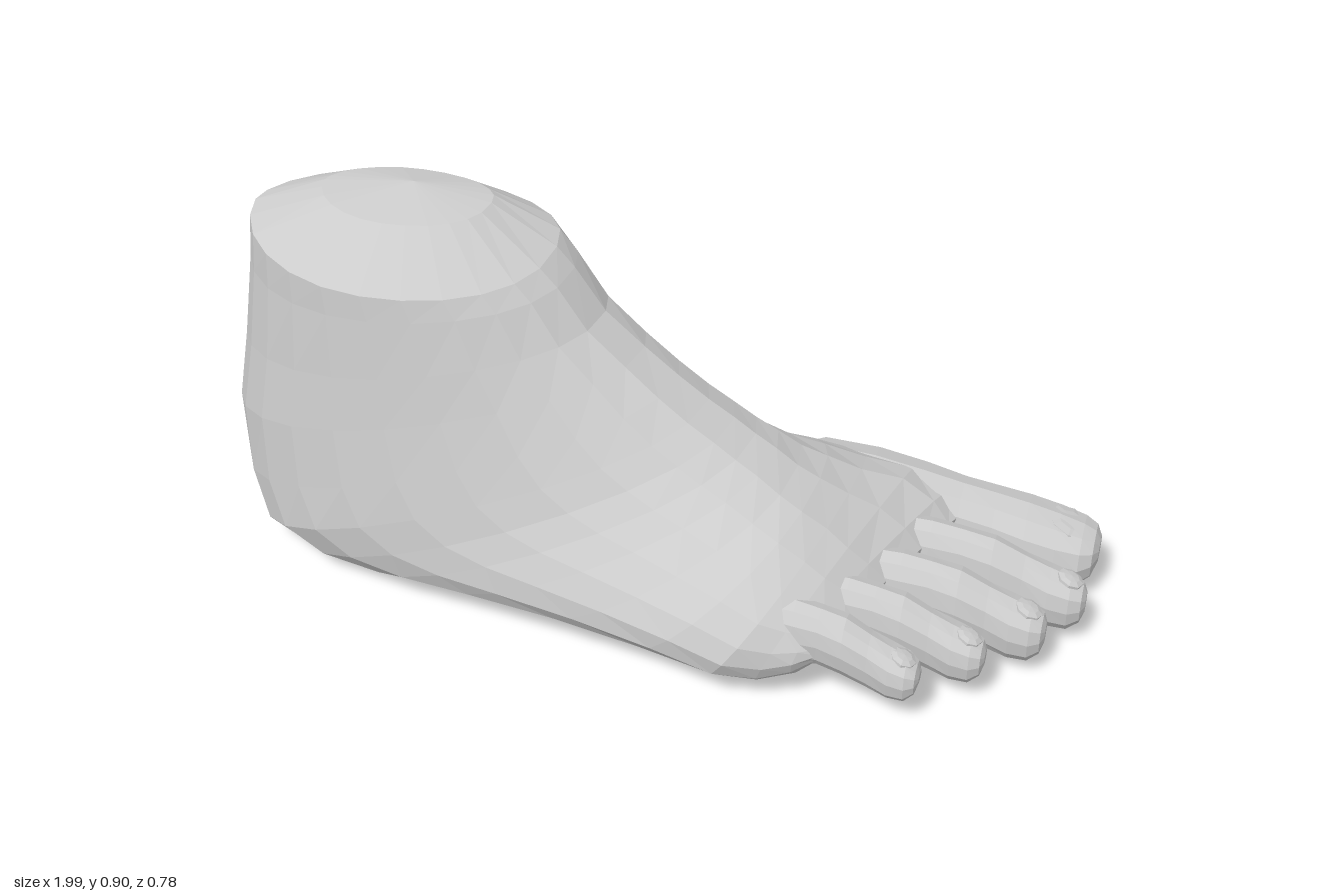
import * as THREE from 'three';

const SIDES = 24;
const material = new THREE.MeshStandardMaterial({ color: 0xcccccc, flatShading: true });

// Skin a list of rings (arrays of Vector3) and close both ends with a fan.
function loft(rings, startTip, endTip) {
  const n = rings[0].length, index = [];
  const points = [...rings.flat(), startTip, endTip];
  const start = points.length - 2, end = points.length - 1;
  const last = (rings.length - 1) * n;
  for (let j = 0; j < n; j++) {
    const k = (j + 1) % n;
    for (let i = 0; i < rings.length - 1; i++) {
      const a = i * n + j, b = i * n + k;
      index.push(a, a + n, b, b, a + n, b + n);
    }
    index.push(start, j, k, end, last + k, last + j);
  }
  const geometry = new THREE.BufferGeometry().setFromPoints(points);
  geometry.setIndex(index);
  geometry.computeVertexNormals();
  return geometry;
}

function addMesh(parent, name, geometry) {
  const mesh = new THREE.Mesh(geometry, material);
  mesh.name = name;
  parent.add(mesh);
  return mesh;
}

function centre(ring) {
  return ring.reduce((sum, p) => sum.add(p), new THREE.Vector3()).divideScalar(ring.length);
}

const signedPower = (v, p) => Math.sign(v) * Math.abs(v) ** p;

// Rings swing from the level ankle cut to the upright ball of the foot.
// top x, top y, bottom x, bottom y, inner z, outer z, low bulge, skew
const SECTIONS = [
  [-0.22, 0.79, -0.93, 0.80, -0.245, 0.19, 1.0, 0],
  [-0.18, 0.75, -0.94, 0.70, -0.25, 0.195, 1.0, 0],
  [-0.11, 0.66, -0.97, 0.50, -0.258, 0.21, 1.0, 0],
  [-0.02, 0.59, -0.998, 0.33, -0.265, 0.225, 1.05, 0],
  [0.06, 0.535, -0.985, 0.16, -0.268, 0.245, 1.1, 0],
  [0.13, 0.49, -0.93, 0.06, -0.272, 0.26, 1.15, 0],
  [0.19, 0.455, -0.82, 0.01, -0.277, 0.27, 1.2, 0],
  [0.24, 0.425, -0.66, 0.002, -0.282, 0.285, 1.25, 0],
  [0.29, 0.4, -0.45, 0.02, -0.288, 0.305, 1.35, 0],
  [0.34, 0.37, -0.20, 0.035, -0.305, 0.335, 1.45, 0],
  [0.39, 0.345, 0.05, 0.033, -0.34, 0.37, 1.5, 0.03],
  [0.45, 0.31, 0.25, 0.014, -0.38, 0.388, 1.5, 0.1],
  [0.51, 0.275, 0.40, 0.006, -0.388, 0.365, 1.4, 0.22],
  [0.565, 0.235, 0.52, 0.03, -0.36, 0.345, 1.2, 0.34],
  [0.605, 0.19, 0.585, 0.085, -0.32, 0.315, 1.1, 0.38],
];

function footRing([tx, ty, bx, by, zIn, zOut, bulge, skew], i) {
  const ring = [];
  const arch = 0.2 * Math.max(0, 1 - ((bx + 0.15) / 0.5) ** 2);
  const tilt = Math.max(0, 0.18 - 0.07 * i);
  const mid = (zIn + zOut) / 2, half = (zOut - zIn) / 2;
  for (let j = 0; j < SIDES; j++) {
    const angle = (j / SIDES) * Math.PI * 2;
    const s = ((1 - Math.cos(angle)) / 2) ** bulge;
    const sin = Math.sin(angle);
    // Narrow tendon behind the ankle, squarer section at the toe roots
    const power = i > 11 ? 0.7 : i < 5 && s < 0.5 ? 1.15 : 0.85;
    const z = mid + half * signedPower(sin, power) - 0.04 * (1 - Math.abs(sin));
    ring.push(new THREE.Vector3(
      THREE.MathUtils.lerp(bx, tx, s) - skew * z,
      THREE.MathUtils.lerp(by, ty, s) - tilt * z + arch * Math.max(0, -z) * (1 - s),
      z));
  }
  return ring;
}

// Along a toe: fraction of length, width factor, top y, bottom y
const TOE = [
  [0, 0.5, 0.19, 0.1], [0.2, 0.9, 0.228, 0.07], [0.4, 1, 0.235, 0.06],
  [0.52, 0.95, 0.23, 0.07], [0.64, 1.02, 0.222, 0.062], [0.76, 0.93, 0.196, 0.045],
  [0.86, 1.05, 0.178, 0.034], [0.94, 0.98, 0.166, 0.036], [0.985, 0.72, 0.15, 0.058],
  [1, 0.35, 0.132, 0.085],
];
const BIG_TOE = [
  [0, 0.5, 0.22, 0.09], [0.18, 1, 0.275, 0.03], [0.34, 1.12, 0.268, 0.012],
  [0.48, 1.05, 0.25, 0.025], [0.6, 0.88, 0.232, 0.04], [0.7, 0.92, 0.22, 0.03],
  [0.79, 1, 0.208, 0.012], [0.88, 1, 0.192, 0.012], [0.95, 0.92, 0.176, 0.03],
  [0.985, 0.72, 0.162, 0.055], [1, 0.38, 0.14, 0.09],
];

// name, root x, root z, tip x, tip z, half width, profile, lift of the underside
const TOES = [
  ['bigToe', 0.2, -0.262, 0.995, -0.262, 0.095, BIG_TOE, 0],
  ['secondToe', 0.4, -0.11, 0.988, -0.066, 0.053, TOE, 0],
  ['thirdToe', 0.38, 0.03, 0.918, 0.066, 0.055, TOE, 0],
  ['fourthToe', 0.3, 0.145, 0.808, 0.195, 0.051, TOE, 0.015],
  ['littleToe', 0.23, 0.25, 0.688, 0.305, 0.051, TOE, 0.025],
];

function toeGeometry([, x0, z0, x1, z1, half, profile, lift]) {
  const rings = profile.map(([t, w, top, bottom]) => {
    const x = THREE.MathUtils.lerp(x0, x1, t), z = THREE.MathUtils.lerp(z0, z1, t);
    const low = bottom + lift;
    const y = (top + low) / 2, h = (top - low) / 2;
    return Array.from({ length: 12 }, (_, j) => {
      const a = (j / 12) * Math.PI * 2;
      return new THREE.Vector3(
        x,
        y - h * signedPower(Math.cos(a), 0.9),
        z + half * w * signedPower(Math.sin(a), 0.85));
    });
  });
  return loft(rings, centre(rings[0]), centre(rings.at(-1)));
}

export function createModel() {
  const foot = new THREE.Group();
  foot.name = 'foot';

  // Ankle, heel, instep and sole, with a domed cap over the ankle cut
  const rings = SECTIONS.map(footRing);
  const capCentre = new THREE.Vector3(-0.55, 0.905, -0.08);
  const capRing = rings[0].map((p) => {
    const q = p.clone().lerp(capCentre, 0.45);
    q.y = 0.878 - 0.06 * q.z;
    return q;
  });
  rings.unshift(capRing);
  addMesh(foot, 'footBody', loft(rings, capCentre, centre(rings.at(-1))));

  // Toes with their nails sunk into the sloping tips
  for (const toe of TOES) {
    const [name, , , x1, z1, half] = toe;
    const group = new THREE.Group();
    group.name = name;
    addMesh(group, 'toe', toeGeometry(toe));
    const nail = addMesh(group, 'toenail', new THREE.SphereGeometry(1, 8, 5));
    nail.scale.set(half * 0.6, 0.01, half * 0.6);
    nail.position.set(x1 - half * 0.75, name === 'bigToe' ? 0.172 : 0.162, z1);
    nail.rotation.z = -0.35;
    foot.add(group);
  }
  return foot;
}
